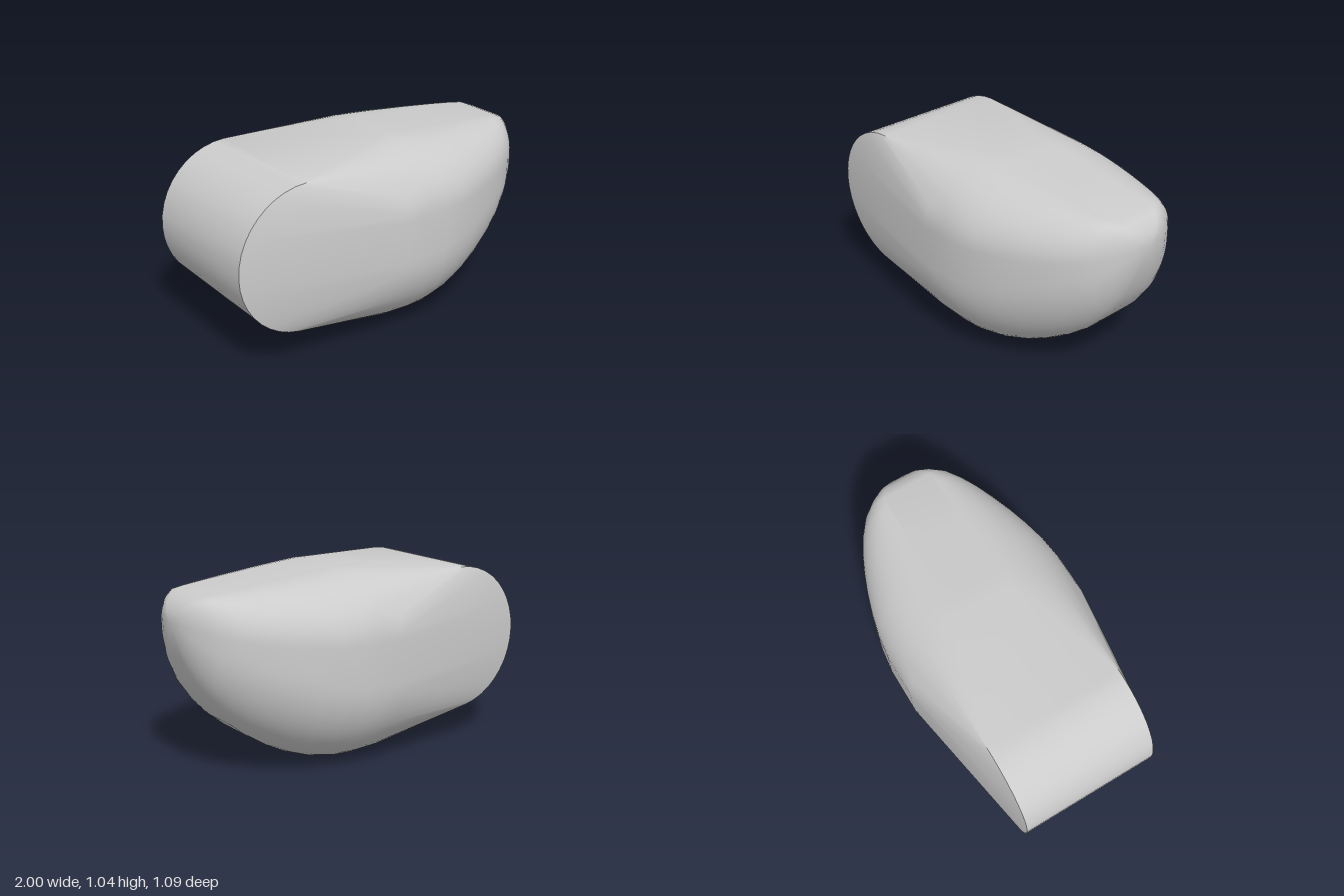
import * as THREE from 'three';
import { ConvexGeometry } from 'three/addons/geometries/ConvexGeometry.js';
import { toCreasedNormals } from 'three/addons/utils/BufferGeometryUtils.js';

// Body stations: x, bottom y, top y, half width, lower and upper end of the straight side
const STATIONS = [
  [-0.18, 0.018, 1.022, 0.515, 0.47, 0.69], [-0.07, 0.007, 1.033, 0.545, 0.47, 0.7],
  [0.07, 0, 1.045, 0.545, 0.47, 0.7], [0.17, 0.005, 1.037, 0.545, 0.48, 0.7],
  [0.3, 0.03, 1.026, 0.529, 0.51, 0.71], [0.42, 0.074, 1.015, 0.5, 0.54, 0.72],
  [0.53, 0.131, 1.006, 0.465, 0.58, 0.73], [0.64, 0.204, 0.996, 0.422, 0.62, 0.745],
  [0.73, 0.278, 0.988, 0.38, 0.66, 0.76], [0.81, 0.363, 0.981, 0.333, 0.7, 0.775],
  [0.88, 0.462, 0.975, 0.277, 0.73, 0.79], [0.93, 0.555, 0.956, 0.213, 0.76, 0.805],
  [0.965, 0.65, 0.926, 0.152, 0.79, 0.82], [0.988, 0.74, 0.89, 0.09, 0.815, 0.83],
];

// Rounded box section: flat top, bottom and sides joined by elliptical corners
function addSection(points, [x, bottom, top, half, low, high], steps = 12) {
  const topFlat = Math.min(0.15, half * 0.5);
  const bottomFlat = Math.min(0.1, half * 0.35);
  for (let i = 0; i <= steps; i++) {
    const a = (i / steps) * Math.PI / 2;
    const c = Math.cos(a), s = Math.sin(a);
    for (const side of [-1, 1]) {
      points.push(new THREE.Vector3(x, high + (top - high) * s, side * (topFlat + (half - topFlat) * c)));
      points.push(new THREE.Vector3(x, low - (low - bottom) * s, side * (bottomFlat + (half - bottomFlat) * c)));
    }
  }
}

export function createModel() {
  const points = [];
  STATIONS.forEach((station) => addSection(points, station));
  points.push(new THREE.Vector3(1, 0.835, 0));

  // Rounded end: a short cylinder lying across the body
  const segments = 40;
  for (let i = 0; i < segments; i++) {
    const a = (i / segments) * Math.PI * 2;
    for (const z of [-0.39, 0.39]) {
      points.push(new THREE.Vector3(-0.6 + 0.4 * Math.cos(a), 0.596 + 0.404 * Math.sin(a), z));
    }
  }

  // One taut skin around the nose sections and the rounded end
  const geometry = toCreasedNormals(new ConvexGeometry(points), THREE.MathUtils.degToRad(32));
  const body = new THREE.Mesh(geometry, new THREE.MeshStandardMaterial({ color: 0xcccccc }));
  body.name = 'body';

  const group = new THREE.Group();
  group.name = 'roundedShell';
  group.add(body);
  return group;
}
